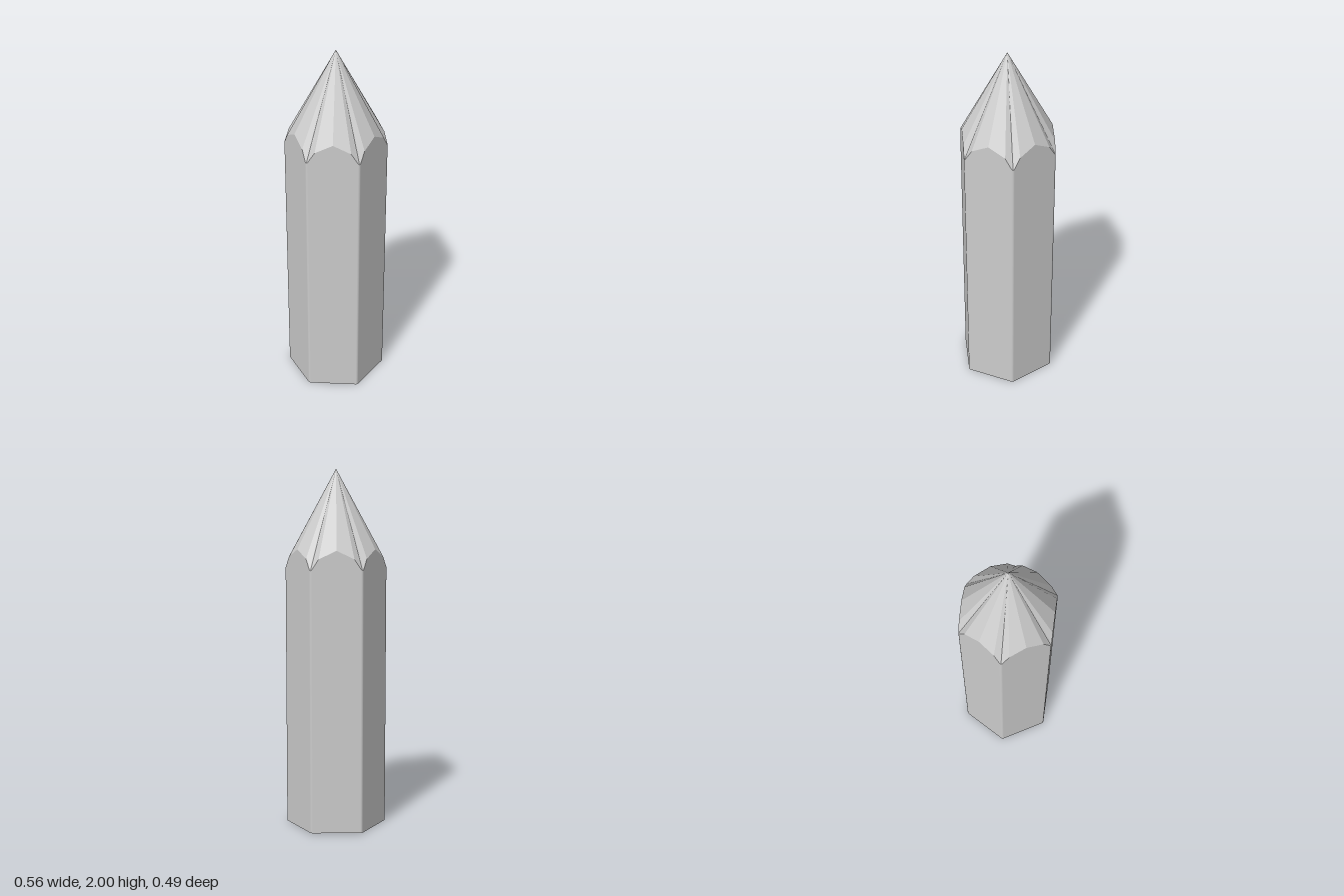
import * as THREE from 'three';

const APOTHEM = 0.245, CORNER = 0.016, HEIGHT = 2;

// Outline of the rounded hexagon; y is the scalloped height where the tip begins
function outline() {
  const pts = [];
  const centre = (APOTHEM - CORNER) / Math.cos(Math.PI / 6);
  const onFace = (faceAngle, t, y) => {
    const nx = Math.cos(faceAngle), nz = Math.sin(faceAngle);
    pts.push({ x: APOTHEM * nx - t * nz, z: APOTHEM * nz + t * nx, y, nx, nz });
  };
  for (let k = 0; k < 6; k++) {
    const a = k * Math.PI / 3;
    onFace(a - Math.PI / 6, 0.096, 1.52);
    // rounded corner, the lowest part of the scallop
    for (let s = -2; s <= 2; s++) {
      const b = a + s * Math.PI / 12, nx = Math.cos(b), nz = Math.sin(b);
      pts.push({
        x: centre * Math.cos(a) + CORNER * nx,
        z: centre * Math.sin(a) + CORNER * nz,
        y: 1.457 + 0.004 * Math.abs(s), nx, nz,
      });
    }
    onFace(a + Math.PI / 6, -0.096, 1.52);
    // middle of the face, the peak of the scallop
    onFace(a + Math.PI / 6, 0, 1.566);
  }
  return pts;
}

function geometry(positions, normals) {
  const g = new THREE.BufferGeometry();
  g.setAttribute('position', new THREE.Float32BufferAttribute(positions, 3));
  if (normals) g.setAttribute('normal', new THREE.Float32BufferAttribute(normals, 3));
  else g.computeVertexNormals();
  return g;
}

export function createModel() {
  const group = new THREE.Group();
  group.name = 'hexagonalPencil';
  const smooth = new THREE.MeshStandardMaterial({ color: 0xcccccc });
  const faceted = new THREE.MeshStandardMaterial({ color: 0xcccccc, flatShading: true });
  const ring = outline();
  const sides = [], sideNormals = [], tip = [], base = [];

  ring.forEach((p, i) => {
    const q = ring[(i + 1) % ring.length];
    // wall strip between two outline points
    for (const [v, y] of [[p, 0], [p, p.y], [q, q.y], [p, 0], [q, q.y], [q, 0]]) {
      sides.push(v.x, y, v.z);
      sideNormals.push(v.nx, 0, v.nz);
    }
    // sharpened tip facet and base wedge
    tip.push(p.x, p.y, p.z, 0, HEIGHT, 0, q.x, q.y, q.z);
    base.push(0, 0, 0, p.x, 0, p.z, q.x, 0, q.z);
  });

  const add = (name, geo, material) => {
    const mesh = new THREE.Mesh(geo, material);
    mesh.name = name;
    group.add(mesh);
  };
  add('shaft', geometry(sides, sideNormals), smooth);
  add('sharpenedTip', geometry(tip), faceted);
  add('base', geometry(base), faceted);
  return group;
}
